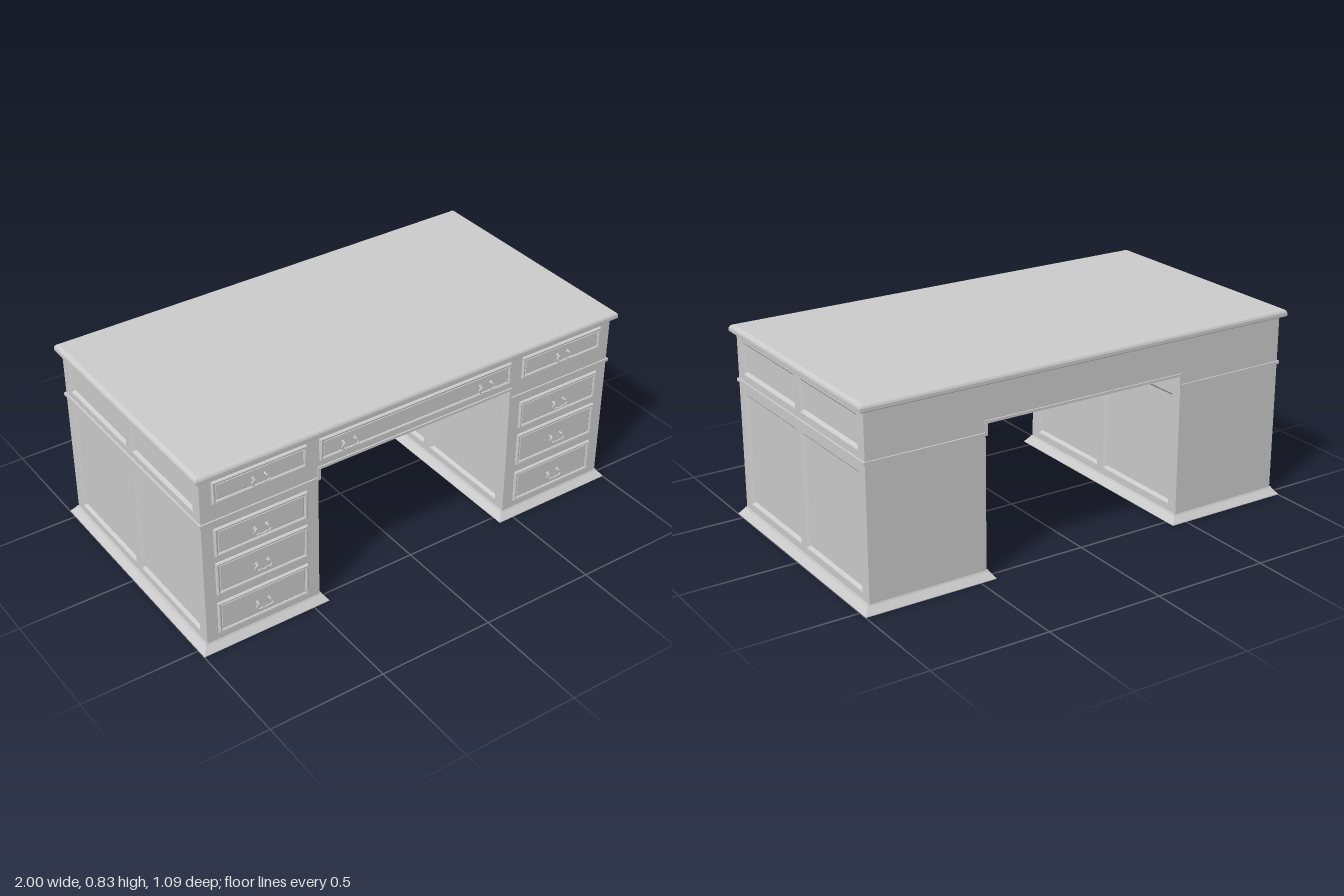
import * as THREE from 'three';

const material = new THREE.MeshStandardMaterial({ color: 0xcccccc, side: THREE.DoubleSide });

function add(parent, name, geometry, x = 0, y = 0, z = 0) {
  const mesh = new THREE.Mesh(geometry, material);
  mesh.name = name;
  mesh.position.set(x, y, z);
  parent.add(mesh);
  return mesh;
}

// Nested rectangles facing +z: each ring is [inset, height]; the last may be capped.
function rectRings(w, h, rings, cap = true) {
  const pos = [];
  const corners = ([i, d]) => {
    const a = w / 2 - i, b = h / 2 - i;
    return [[-a, -b, d], [a, -b, d], [a, b, d], [-a, b, d]];
  };
  const quad = (a, b, c, d) => pos.push(...a, ...b, ...c, ...a, ...c, ...d);
  for (let r = 0; r < rings.length - 1; r++) {
    const o = corners(rings[r]), n = corners(rings[r + 1]);
    for (let k = 0; k < 4; k++) quad(o[k], o[(k + 1) % 4], n[(k + 1) % 4], n[k]);
  }
  if (cap) quad(...corners(rings[rings.length - 1]));
  const g = new THREE.BufferGeometry();
  g.setAttribute('position', new THREE.Float32BufferAttribute(pos, 3));
  g.computeVertexNormals();
  return g;
}

const polygon = (pts) => new THREE.Shape(pts.map((p) => new THREE.Vector2(...p)));

// Flat wall with rectangular openings [x0, x1, y0, y1], each filled by a moulded panel.
function wall(name, outline, rects, panelName, rings) {
  const group = new THREE.Group();
  group.name = name;
  const shape = polygon(outline);
  for (const [x0, x1, y0, y1] of rects) {
    shape.holes.push(new THREE.Path([[x0, y0], [x0, y1], [x1, y1], [x1, y0]].map((p) => new THREE.Vector2(...p))));
    add(group, panelName, rectRings(x1 - x0, y1 - y0, rings), (x0 + x1) / 2, (y0 + y1) / 2, 0);
  }
  add(group, name + 'Frame', new THREE.ShapeGeometry(shape));
  return group;
}

// Drooping bail handle on two round posts
function handle(x, y, z) {
  const group = new THREE.Group();
  group.name = 'handle';
  const half = [[0.027, 0.008], [0.036, 0.001], [0.037, -0.009], [0.028, -0.018], [0.014, -0.017]];
  const pts = [
    ...half.map(([a, b]) => new THREE.Vector3(-a, b, 0.011)),
    new THREE.Vector3(0, -0.02, 0.012),
    ...half.slice().reverse().map(([a, b]) => new THREE.Vector3(a, b, 0.011)),
  ];
  add(group, 'bail', new THREE.TubeGeometry(new THREE.CatmullRomCurve3(pts), 32, 0.0033, 8));
  for (const s of [-1, 1]) {
    add(group, 'post', new THREE.CylinderGeometry(0.004, 0.004, 0.015, 10), s * 0.026, 0.008, 0.0065).rotation.x = Math.PI / 2;
    add(group, 'rosette', new THREE.CylinderGeometry(0.007, 0.009, 0.004, 12), s * 0.026, 0.008, 0.001).rotation.x = Math.PI / 2;
  }
  group.position.set(x, y, z);
  return group;
}

export function createModel() {
  const desk = new THREE.Group();
  desk.name = 'pedestalDesk';
  const X = 0.97, K = 0.46, Z = 0.52, LOW = 0.03, ARCH = 0.645, TOP = 0.8;

  // Table top with a rounded edge
  add(desk, 'tableTop', rectRings(1.985, 1.084, [
    [0.542, 0], [0.004, 0], [0, 0.004], [0, 0.017], [0.003, 0.024], [0.008, 0.029], [0.015, 0.032],
  ]), 0, 0.797, 0).rotation.x = -Math.PI / 2;

  // Front and back walls, both cut out around the kneehole
  const outline = [[-X, LOW], [-K, LOW], [-K, ARCH], [K, ARCH], [K, LOW], [X, LOW], [X, TOP], [-X, TOP]];
  const drawerRows = [[0.065, 0.213], [0.25, 0.403], [0.433, 0.563], [0.675, 0.775]];
  const drawers = [[-0.455, 0.455, 0.675, 0.775]];
  for (const [y0, y1] of drawerRows) drawers.push([-0.92, -0.512, y0, y1], [0.512, 0.92, y0, y1]);
  const front = wall('front', outline, drawers, 'drawerFront', [
    [0, 0], [0.002, 0.005], [0.006, 0.009], [0.011, 0.008], [0.016, 0.003], [0.019, 0.005],
  ]);
  front.position.z = Z;
  desk.add(front);
  const back = wall('back', outline, [], '', []);
  back.rotation.y = Math.PI;
  back.position.z = -Z;
  desk.add(back);

  // Drawer handles
  for (const s of [-1, 1]) {
    for (const y of [0.127, 0.315, 0.485, 0.714]) desk.add(handle(s * 0.72, y, Z + 0.005));
    desk.add(handle(s * 0.325, 0.714, Z + 0.005));
  }

  // Pedestal sides with sunken panels, plus the flared plinths
  const recess = [[0, 0], [0.004, -0.003], [0.013, -0.012]];
  const box = (y1) => [[-Z, LOW], [Z, LOW], [Z, y1], [-Z, y1]];
  const low = [[-0.47, -0.022, 0.065, 0.55], [0.022, 0.47, 0.065, 0.55]];
  const high = [[-0.47, -0.022, 0.632, 0.77], [0.022, 0.47, 0.632, 0.77]];
  for (const s of [-1, 1]) {
    const outer = wall('outerSide', box(TOP), [...low, ...high], 'sidePanel', recess);
    outer.rotation.y = s * Math.PI / 2;
    outer.position.x = s * X;
    const inner = wall('innerSide', box(ARCH), low, 'kneeholePanel', recess);
    inner.rotation.y = -s * Math.PI / 2;
    inner.position.x = s * K;
    desk.add(outer, inner);
    add(desk, 'plinth', rectRings(0.57, 1.09, [
      [0.03, 0], [0, 0], [0, 0.003], [0.021, 0.03], [0.023, 0.035], [0.03, 0.035],
    ], false), s * 0.715, 0, 0).rotation.x = -Math.PI / 2;
    add(desk, 'sideMoulding', new THREE.BoxGeometry(0.01, 0.012, 1.05), s * 0.973, 0.597, 0);
  }

  // Kneehole ceiling
  add(desk, 'kneeholeCeiling', new THREE.PlaneGeometry(2 * K, 2 * Z), 0, ARCH, 0).rotation.x = Math.PI / 2;

  // Waist moulding stepping up over the kneehole, front and back
  const a = 0.978, b = 0.453, c = 0.464;
  const band = polygon([
    [-a, 0.591], [-b, 0.591], [-b, 0.639], [b, 0.639], [b, 0.591], [a, 0.591],
    [a, 0.603], [c, 0.603], [c, 0.65], [-c, 0.65], [-c, 0.603], [-a, 0.603],
  ]);
  for (const z of [Z - 0.003, -Z - 0.006]) {
    add(desk, 'waistMoulding', new THREE.ExtrudeGeometry(band, { depth: 0.009, bevelEnabled: false }), 0, 0, z);
  }
  return desk;
}
